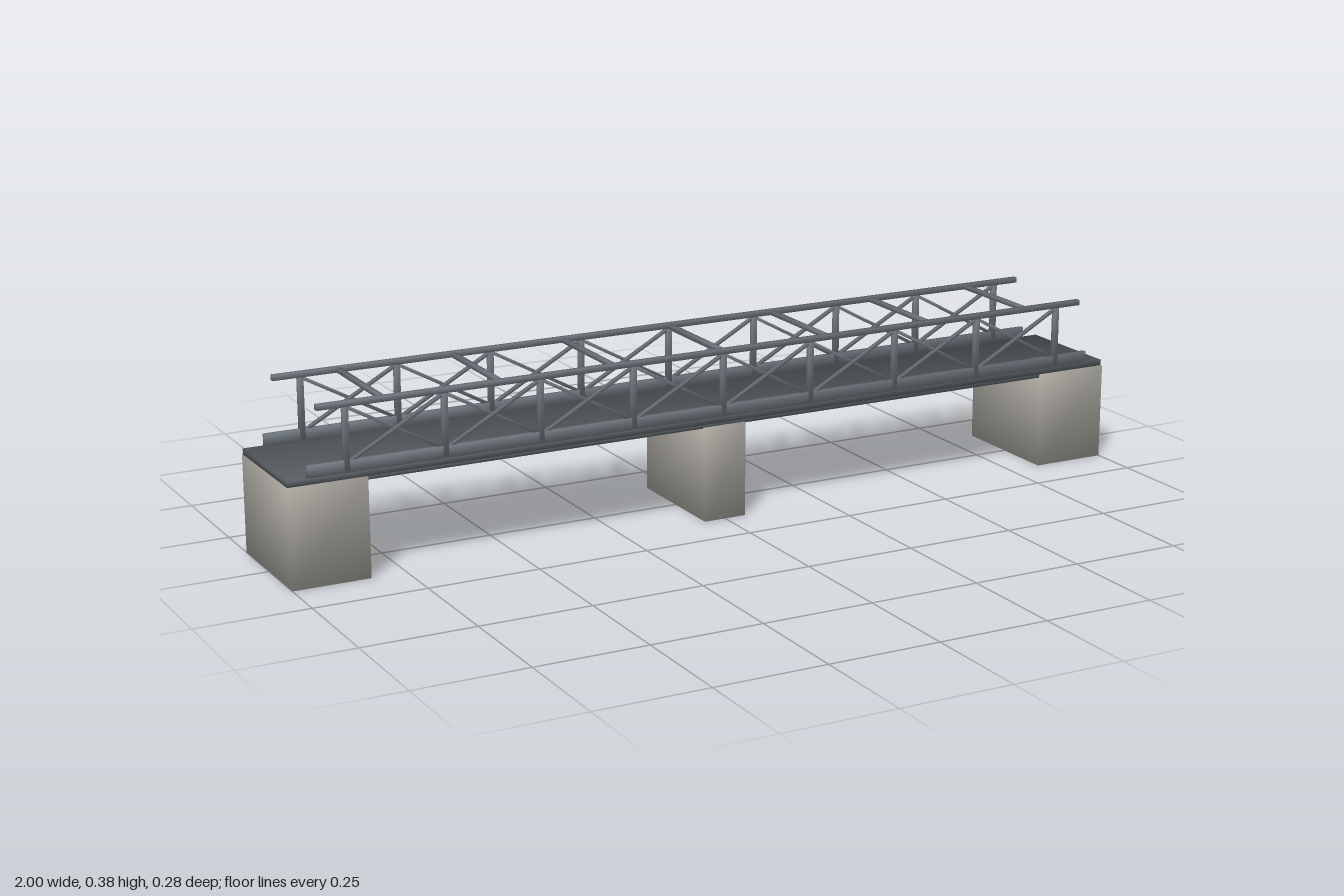
import * as THREE from 'three';
import { mergeVertices } from 'three/addons/utils/BufferGeometryUtils.js';

const steel = new THREE.MeshStandardMaterial({ name: 'steel', color: 0x6e767d });
const deckPaint = new THREE.MeshStandardMaterial({ name: 'deckGrey', color: 0x565c60 });
const concrete = new THREE.MeshStandardMaterial({ name: 'concrete', color: 0xa5a29b });

// Box whose corners share one soft normal each
function softBox(w, h, d) {
  let g = new THREE.BoxGeometry(w, h, d);
  g.deleteAttribute('uv');
  g.deleteAttribute('normal');
  g = mergeVertices(g);
  const p = g.attributes.position;
  const normals = [];
  const n = new THREE.Vector3();
  for (let i = 0; i < p.count; i++) {
    n.set(Math.sign(p.getX(i)), Math.sign(p.getY(i)), Math.sign(p.getZ(i))).normalize();
    normals.push(n.x, n.y, n.z);
  }
  g.setAttribute('normal', new THREE.Float32BufferAttribute(normals, 3));
  return g;
}

// Box given by its lower and upper limits on each axis
function block(parent, name, material, [x0, x1], [y0, y1], [z0, z1]) {
  const mesh = new THREE.Mesh(softBox(x1 - x0, y1 - y0, z1 - z0), material);
  mesh.position.set((x0 + x1) / 2, (y0 + y1) / 2, (z0 + z1) / 2);
  mesh.name = name;
  parent.add(mesh);
  return mesh;
}

function createTruss(name, z) {
  const truss = new THREE.Group();
  truss.name = name;
  truss.position.z = z;
  block(truss, 'lowerChord', steel, [-0.955, 0.955], [0.231, 0.257], [-0.005, 0.005]);
  block(truss, 'topRail', steel, [-0.932, 0.932], [0.37, 0.382], [-0.006, 0.006]);

  const bays = 8, pitch = 0.2175, start = -0.87;
  for (let i = 0; i <= bays; i++) {
    const x = start + i * pitch;
    block(truss, 'post', steel, [x - 0.006, x + 0.006], [0.235, 0.372], [-0.0055, 0.0055]);
    if (i === bays) continue;
    // Crossed braces in each bay
    const y0 = 0.25, y1 = 0.37;
    for (const s of [-1, 1]) {
      const brace = new THREE.Mesh(softBox(Math.hypot(pitch, y1 - y0), 0.007, 0.007), steel);
      brace.name = 'brace';
      brace.position.set(x + pitch / 2, (y0 + y1) / 2, s * 0.001);
      brace.rotation.z = s * Math.atan2(y1 - y0, pitch);
      truss.add(brace);
    }
  }
  return truss;
}

export function createModel() {
  const bridge = new THREE.Group();
  bridge.name = 'trussBridge';

  // Supports
  block(bridge, 'rightAbutment', concrete, [-1, -0.828], [0, 0.218], [-0.138, 0.138]);
  block(bridge, 'leftAbutment', concrete, [0.828, 1], [0, 0.218], [-0.138, 0.138]);
  block(bridge, 'middlePier', concrete, [-0.05, 0.05], [0, 0.212], [-0.138, 0.138]);

  // Deck and the slab beneath it
  block(bridge, 'deck', deckPaint, [-1, 1], [0.218, 0.231], [-0.132, 0.132]);
  block(bridge, 'underSlab', deckPaint, [-0.83, 0.83], [0.21, 0.2185], [-0.131, 0.131]);

  // Side trusses
  bridge.add(createTruss('leftTruss', 0.127), createTruss('rightTruss', -0.127));

  // Overhead ties between the top rails
  for (let i = -3; i <= 3; i++) {
    const x = i * 0.262;
    block(bridge, 'overheadTie', steel, [x - 0.005, x + 0.005], [0.371, 0.381], [-0.125, 0.125]);
  }
  return bridge;
}
